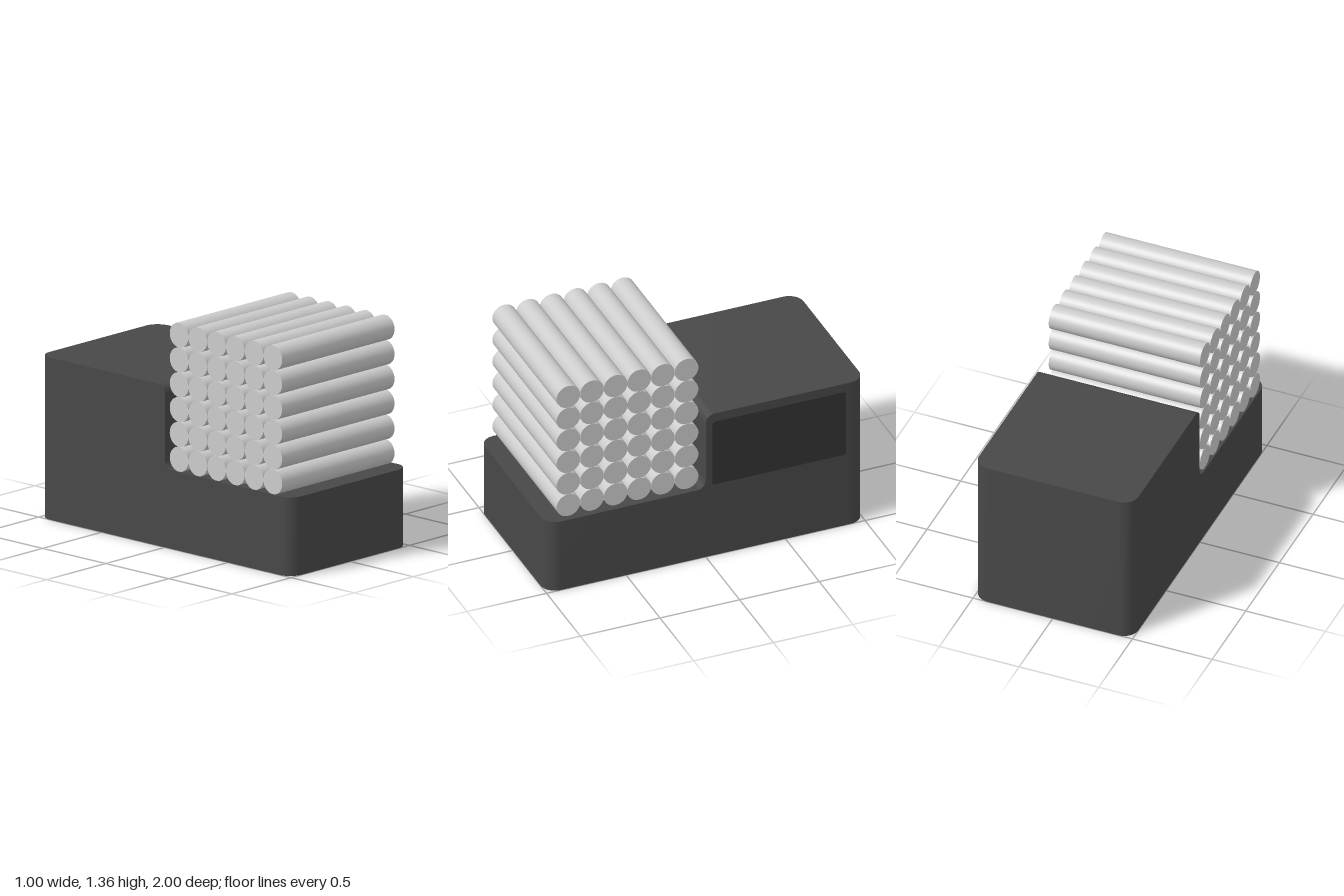
import * as THREE from 'three';
import { toCreasedNormals } from 'three/addons/utils/BufferGeometryUtils.js';

const material = (color) => new THREE.MeshStandardMaterial({ color });

// Stations [z, top height, half width] running from front to back
function bodyStations() {
  const low = 0.47, high = 0.97, half = 0.5, corner = 0.09, fillet = 0.055, n = 10;
  const stations = [];
  const arc = (fn) => {
    for (let i = 0; i <= n; i++) {
      const a = (i / n) * Math.PI / 2;
      stations.push(fn(Math.cos(a), Math.sin(a)));
    }
  };
  arc((c, s) => [1 - corner + corner * c, low, half - corner + corner * s]);
  arc((c, s) => [fillet * (1 - s), low + fillet * (1 - c), half]);
  arc((c, s) => [-fillet * (1 - c), high - fillet * (1 - s), half]);
  arc((c, s) => [-1 + corner - corner * s, high, half - corner + corner * c]);
  return stations;
}

// Stepped block lofted through rectangular sections
function bodyGeometry() {
  const positions = [];
  const quad = (a, b, c, d) => positions.push(...a, ...b, ...c, ...a, ...c, ...d);
  const ring = ([z, h, w]) => [[-w, 0, z], [w, 0, z], [w, h, z], [-w, h, z]];
  const rings = bodyStations().map(ring);
  for (let i = 0; i < rings.length - 1; i++) {
    const f = rings[i], b = rings[i + 1];
    const flat = Math.abs(f[0][2] - b[0][2]) < 1e-6;
    for (let k = 0; k < 4; k++) {
      if (flat && k !== 2) continue; // the upright step has only a front wall
      const m = (k + 1) % 4;
      quad(f[k], b[k], b[m], f[m]);
    }
  }
  quad(...rings[0]);
  quad(...rings[rings.length - 1].slice().reverse());
  const geometry = new THREE.BufferGeometry();
  geometry.setAttribute('position', new THREE.Float32BufferAttribute(positions, 3));
  return toCreasedNormals(geometry, 0.5);
}

// Rounded rectangle slab, centred on its own axes
function panelGeometry(width, height, r, depth) {
  const x = width / 2, y = height / 2, q = Math.PI / 2;
  const shape = new THREE.Shape();
  shape.absarc(x - r, y - r, r, 0, q);
  shape.absarc(-x + r, y - r, r, q, 2 * q);
  shape.absarc(-x + r, -y + r, r, 2 * q, 3 * q);
  shape.absarc(x - r, -y + r, r, 3 * q, 4 * q);
  shape.closePath();
  return new THREE.ExtrudeGeometry(shape, { depth, bevelEnabled: false, curveSegments: 6 });
}

export function createModel() {
  const model = new THREE.Group();
  model.name = 'rodCarrier';

  const body = new THREE.Mesh(bodyGeometry(), material(0x484848));
  body.name = 'body';
  model.add(body);

  // Dark inset window on the +x side
  const panel = new THREE.Mesh(panelGeometry(0.84, 0.43, 0.02, 0.012), material(0x333333));
  panel.name = 'sidePanel';
  panel.rotation.y = Math.PI / 2;
  panel.position.set(0.49, 0.7, -0.46);
  model.add(panel);

  // Square stack of rods lying across the low deck
  const rods = new THREE.Group();
  rods.name = 'rodStack';
  const rodGeometry = new THREE.CylinderGeometry(0.074, 0.074, 0.95, 48).rotateZ(Math.PI / 2);
  const rodMaterial = material(0xcccccc);
  for (let row = 0; row < 6; row++) {
    for (let col = 0; col < 6; col++) {
      const rod = new THREE.Mesh(rodGeometry, rodMaterial);
      rod.name = 'rod';
      rod.position.set(-0.015, 0.543 + row * 0.1485, 0.846 - col * 0.1485);
      rods.add(rod);
    }
  }
  model.add(rods);
  return model;
}
